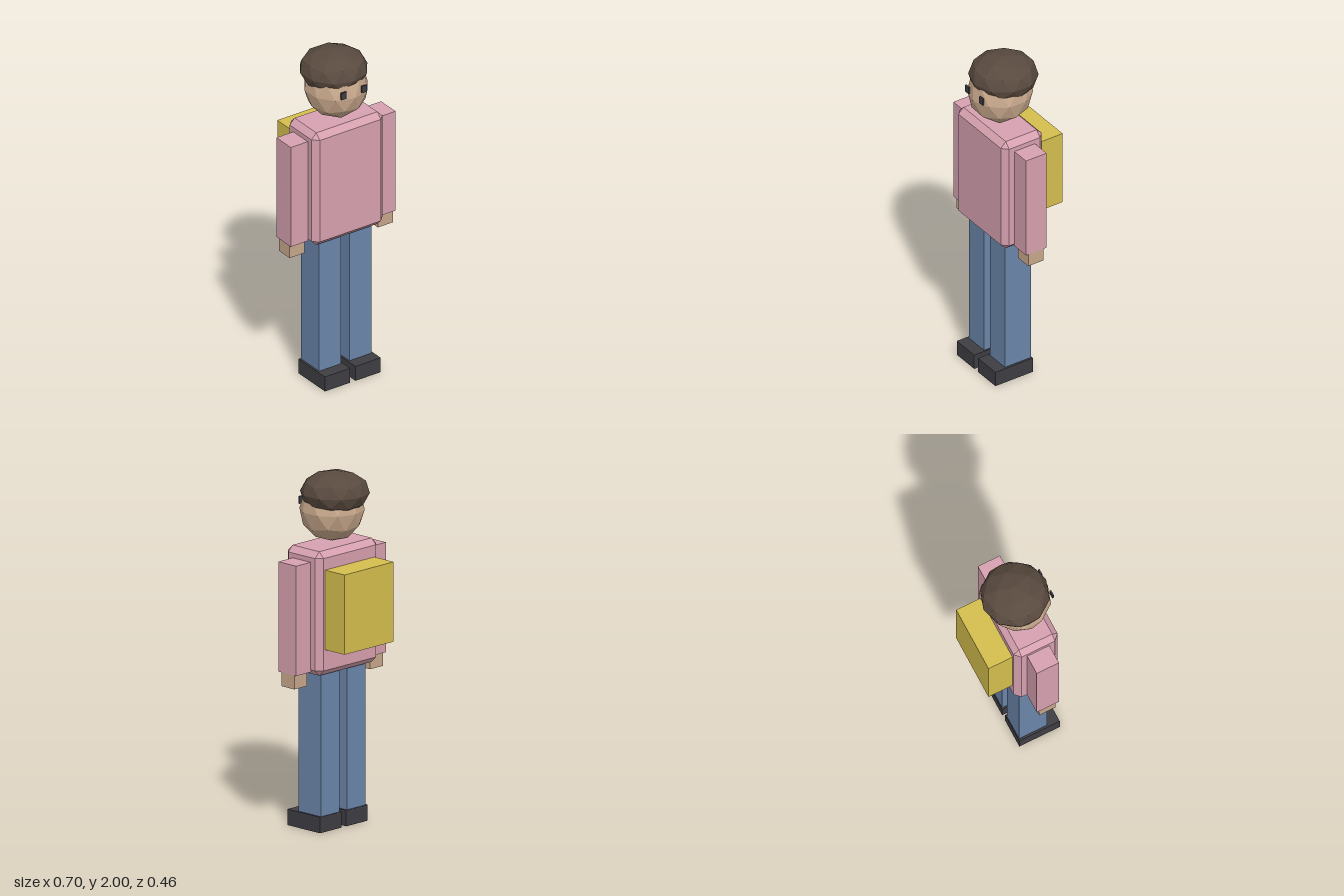
import * as THREE from 'three';
import { ConvexGeometry } from 'three/addons/geometries/ConvexGeometry.js';

function mat(name, color) {
  const m = new THREE.MeshStandardMaterial({ color, flatShading: true });
  m.name = name;
  return m;
}

// Box given by its extents on each axis
function box(name, material, [x0, x1], [y0, y1], [z0, z1]) {
  const mesh = new THREE.Mesh(new THREE.BoxGeometry(x1 - x0, y1 - y0, z1 - z0), material);
  mesh.position.set((x0 + x1) / 2, (y0 + y1) / 2, (z0 + z1) / 2);
  mesh.name = name;
  return mesh;
}

// Box with cut edges: hull of the corners of its six inset faces
function chamferedBox(w, h, d, c) {
  const points = [];
  for (const sx of [-1, 1]) for (const sy of [-1, 1]) for (const sz of [-1, 1]) {
    for (let axis = 0; axis < 3; axis++) {
      const half = [w / 2, h / 2, d / 2].map((v, i) => (i === axis ? v : v - c));
      points.push(new THREE.Vector3(sx * half[0], sy * half[1], sz * half[2]));
    }
  }
  return new ConvexGeometry(points);
}

// Faceted ball with a vertex at each pole and a ten-sided equator
function ball(name, material, rx, ry, rz, y, z) {
  const geometry = new THREE.IcosahedronGeometry(1, 1);
  geometry.rotateX(-Math.atan((1 + Math.sqrt(5)) / 2));
  geometry.rotateY(Math.PI / 2);
  geometry.scale(rx, ry, rz);
  const mesh = new THREE.Mesh(geometry, material);
  mesh.position.set(0, y, z);
  mesh.name = name;
  return mesh;
}

export function createModel() {
  const shirt = mat('pink shirt', 0xd6a0af);
  const jeans = mat('blue denim', 0x6a85aa);
  const skin = mat('skin', 0xc7a78b);
  const hairBrown = mat('brown hair', 0x594a3f);
  const dark = mat('dark charcoal', 0x3e3e43);
  const yellow = mat('yellow bag', 0xd4be4e);

  const model = new THREE.Group();
  model.name = 'person';

  // Torso and backpack
  const torso = new THREE.Mesh(chamferedBox(0.474, 0.7, 0.27, 0.033), shirt);
  torso.name = 'torso';
  torso.position.set(0, 1.245, 0.05);
  model.add(torso);
  model.add(box('backpack', yellow, [-0.192, 0.192], [1.045, 1.495], [-0.232, -0.084]));

  // Head and hair
  model.add(ball('head', skin, 0.18, 0.18, 0.18, 1.78, 0.05));
  model.add(ball('hair', hairBrown, 0.192, 0.12, 0.192, 1.88, 0.028));

  // Limbs and eyes, mirrored
  for (const [side, s] of [['left', 1], ['right', -1]]) {
    const span = (a, b) => (s > 0 ? [a, b] : [-b, -a]);
    model.add(
      box(side + 'Arm', shirt, span(0.236, 0.35), [0.915, 1.535], [-0.018, 0.118]),
      box(side + 'Hand', skin, span(0.245, 0.345), [0.835, 0.93], [0, 0.1]),
      box(side + 'Leg', jeans, span(0.028, 0.174), [0.05, 0.92], [-0.035, 0.137]),
      box(side + 'Shoe', dark, span(0.018, 0.186), [0, 0.09], [-0.04, 0.208]),
      box(side + 'Eye', dark, span(0.052, 0.085), [1.792, 1.834], [0.214, 0.2235]),
    );
  }
  return model;
}
